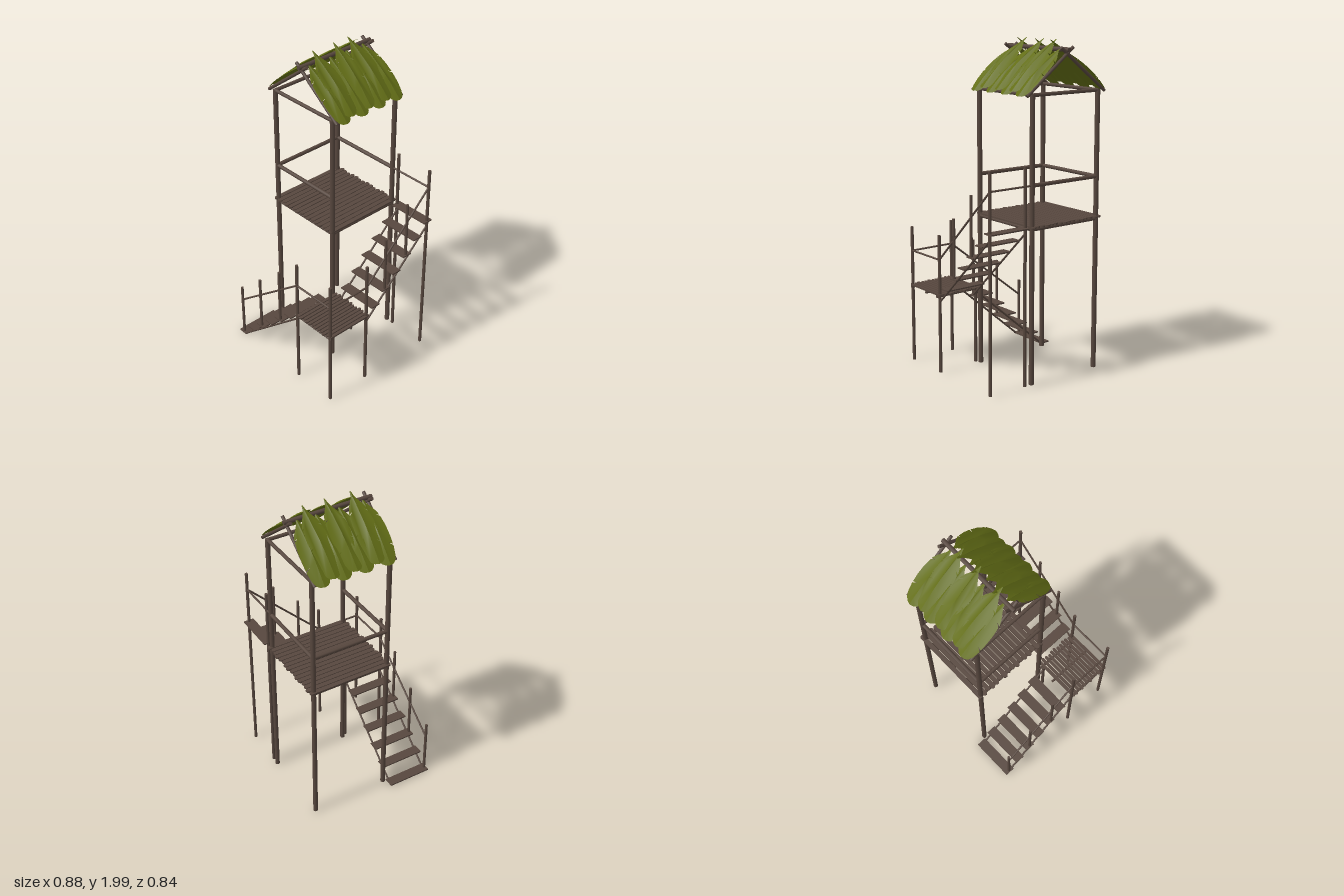
import * as THREE from 'three';

const wood = new THREE.MeshStandardMaterial({ color: 0x57473e });
const green = new THREE.MeshStandardMaterial({ color: 0x636e16, side: THREE.DoubleSide });

const V = (x, y, z) => new THREE.Vector3(x, y, z);

// Round pole between two points
function pole(parent, name, a, b, r) {
  const from = V(...a), to = V(...b), dir = to.clone().sub(from);
  const mesh = new THREE.Mesh(new THREE.CylinderGeometry(r, r, dir.length(), 8), wood);
  mesh.position.copy(from).add(to).multiplyScalar(0.5);
  mesh.quaternion.setFromUnitVectors(V(0, 1, 0), dir.normalize());
  mesh.name = name;
  parent.add(mesh);
}

// Flat board
function board(parent, name, size, pos) {
  const mesh = new THREE.Mesh(new THREE.BoxGeometry(...size), wood);
  mesh.position.set(...pos);
  mesh.name = name;
  parent.add(mesh);
}

// Deck of narrow planks running along z, with blunt pointed ends
function deck(parent, name, x0, x1, z0, z1, y, count, fill) {
  const pitch = (x1 - x0) / count, h = pitch * fill / 2;
  for (let i = 0; i < count; i++) {
    const a = -z1 - 0.006 * Math.sin(i * 2.3), b = -z0 + 0.006 * Math.sin(i * 1.7);
    const s = new THREE.Shape([
      [-h, a + 0.008], [-h * 0.4, a], [h * 0.4, a], [h, a + 0.008],
      [h, b - 0.008], [h * 0.4, b], [-h * 0.4, b], [-h, b - 0.008],
    ].map(([x, z]) => new THREE.Vector2(x, z)));
    const geo = new THREE.ExtrudeGeometry(s, { depth: 0.01, bevelEnabled: false });
    geo.rotateX(-Math.PI / 2);
    const mesh = new THREE.Mesh(geo, wood);
    mesh.position.set(x0 + pitch * (i + 0.5), y - 0.005, 0);
    mesh.name = name;
    parent.add(mesh);
  }
}

// One half of a broad leaf: notched rim on one side, midrib on the other
const RIM = [[0.015, 0.025], [0.05, 0.042], [0.12, 0.055], [0.25, 0.065], [0.4, 0.068],
  [0.55, 0.067], [0.68, 0.06], [0.78, 0.047], [0.86, 0.026], [0.92, 0.011], [1, 0.003]];

function halfLeaf(side, length, notches) {
  const pts = [new THREE.Vector2(0, 0)];
  RIM.forEach(([s, w], i) => {
    pts.push(new THREE.Vector2(s, w));
    // thin tear pointing back toward the stem
    if (notches.includes(i)) {
      pts.push(new THREE.Vector2(s + 0.05, w * 0.6), new THREE.Vector2(s + 0.022, w));
    }
  });
  for (let s = 1; s > 0.05; s -= 0.125) pts.push(new THREE.Vector2(s, 0));
  const geo = new THREE.ShapeGeometry(new THREE.Shape(pts));
  const p = geo.attributes.position;
  // arch along the length, droop away from the midrib
  for (let i = 0; i < p.count; i++) {
    const s = p.getX(i), w = p.getY(i);
    p.setXYZ(i, s * length, 0.018 * Math.sin(Math.PI * s) - w * 0.22, side * w);
  }
  geo.computeVertexNormals();
  return geo;
}

function leaf(parent, x0, y0, x1, y1, z, yaw, seed) {
  const g = new THREE.Group();
  const len = Math.hypot(x1 - x0, y1 - y0);
  for (const side of [-1, 1]) {
    const cuts = [3 + (seed + (side > 0 ? 1 : 0)) % 2, 6];
    const m = new THREE.Mesh(halfLeaf(side, len, cuts), green);
    m.name = 'leafHalf';
    g.add(m);
  }
  g.rotation.set(0, yaw, Math.atan2(y1 - y0, x1 - x0), 'YZX');
  g.position.set(x0, y0, z);
  g.name = 'leaf';
  parent.add(g);
}

function group(parent, name) {
  const g = new THREE.Group();
  g.name = name;
  parent.add(g);
  return g;
}

export function createModel() {
  const model = new THREE.Group();
  model.name = 'watchtower';
  const L = -0.365, R = 0.125, F = 0.108, B = -0.385, RIDGE = -0.12;

  // Tower frame: four posts, eaves beams, guard rails on three sides
  const tower = group(model, 'tower');
  for (const x of [L, R]) for (const z of [F, B]) pole(tower, 'towerPost', [x, 0, z], [x, 1.7, z], 0.015);
  for (const y of [0.93, 1.695]) {
    for (const z of [F, B]) pole(tower, 'crossBeam', [L, y, z], [R, y, z], 0.011);
    for (const x of [L, R]) pole(tower, 'sideBeam', [x, y, F], [x, y, B], 0.011);
  }
  pole(tower, 'floorBeam', [L, 0.93, -0.14], [R, 0.93, -0.14], 0.01);
  for (const z of [F, B]) pole(tower, 'guardRail', [L, 1.185, z], [R, 1.185, z], 0.012);
  pole(tower, 'guardRail', [L, 1.185, F], [L, 1.185, B], 0.012);
  deck(tower, 'floorPlank', -0.39, 0.14, -0.413, 0.128, 0.945, 16, 0.86);

  // Roof frame: ridge pole and crossed rafters
  const roof = group(model, 'roof');
  pole(roof, 'ridgePole', [RIDGE, 1.937, 0.14], [RIDGE, 1.937, -0.412], 0.013);
  for (const z of [0.115, -0.392]) for (const s of [-1, 1]) {
    pole(roof, 'rafter', [RIDGE + s * 0.29, 1.69, z], [RIDGE - s * 0.045, 1.95, z], 0.01);
  }

  // Leaf thatch: four lower and three overlapping upper leaves per slope
  for (const s of [-1, 1]) {
    const thatch = group(roof, 'thatch');
    thatch.position.x = RIDGE;
    if (s > 0) thatch.rotation.y = Math.PI;
    for (let i = 0; i < 4; i++) {
      leaf(thatch, -0.32, 1.69, 0.0, 1.945, s * -(-0.348 + 0.137 * i), 0.04 * Math.sin(i * 2 + s), i);
    }
    for (let i = 0; i < 3; i++) {
      leaf(thatch, -0.305, 1.71, 0.03, 1.99, s * -(-0.272 + 0.137 * i), 0.05 * Math.cos(i * 2 + s), i + 1);
    }
    // z above is written for the turned slope; mirror it back for the other one
    if (s < 0) thatch.position.z = 0;
  }

  // Landing on four legs
  const landing = group(model, 'landing');
  deck(landing, 'landingPlank', 0.14, 0.44, 0.092, 0.413, 0.485, 12, 0.76);
  for (const z of [0.125, 0.242, 0.4]) pole(landing, 'landingBeam', [0.12, 0.472, z], [0.437, 0.472, z], 0.008);
  pole(landing, 'landingLeg', [0.142, 0, 0.138], [0.142, 0.48, 0.138], 0.01);
  for (const [x, z] of [[0.135, 0.4], [0.425, 0.4], [0.425, 0.11]]) {
    pole(landing, 'landingPost', [x, 0, z], [x, 0.85, z], 0.01);
  }
  pole(landing, 'landingRail', [0.135, 0.7, 0.4], [0.425, 0.7, 0.4], 0.006);
  pole(landing, 'landingRail', [0.425, 0.7, 0.4], [0.425, 0.7, 0.11], 0.006);

  // Lower stair, climbing toward +x along the front
  const lower = group(model, 'lowerStair');
  for (let i = 0; i < 6; i++) {
    board(lower, 'tread', [0.064, 0.008, 0.284], [-0.408 + i * 0.0912, 0.009 + i * 0.082, 0.267]);
  }
  for (const z of [0.14, 0.395]) pole(lower, 'stringer', [-0.38, 0.01, z], [0.135, 0.45, z], 0.006);
  pole(lower, 'handrail', [-0.41, 0.27, 0.397], [0.135, 0.7, 0.397], 0.006);
  for (const [x, y0, y1] of [[-0.408, 0, 0.37], [-0.222, 0.175, 0.535], [-0.034, 0.335, 0.7]]) {
    pole(lower, 'handrailPost', [x, y0, 0.397], [x, y1, 0.397], 0.009);
  }

  // Upper stair, climbing toward the back along the side
  const upper = group(model, 'upperStair');
  for (let i = 0; i < 6; i++) {
    board(upper, 'tread', [0.27, 0.008, 0.065], [0.303, 0.53 + i * 0.083, 0.043 - i * 0.085]);
  }
  for (const x of [0.18, 0.425]) pole(upper, 'stringer', [x, 0.445, 0.105], [x, 0.91, B], 0.006);
  pole(upper, 'handrail', [0.425, 0.7, 0.11], [0.425, 1.185, B], 0.006);
  for (const [z, y0, y1] of [[-0.04, 0.61, 0.975], [-0.21, 0.78, 1.14]]) {
    pole(upper, 'handrailPost', [0.425, y0, z], [0.425, y1, z], 0.009);
  }
  for (const x of [0.175, 0.425]) pole(upper, 'backPost', [x, 0, B], [x, 1.3, B], 0.01);
  pole(upper, 'backRail', [R, 1.185, B], [0.425, 1.185, B], 0.006);

  return model;
}
